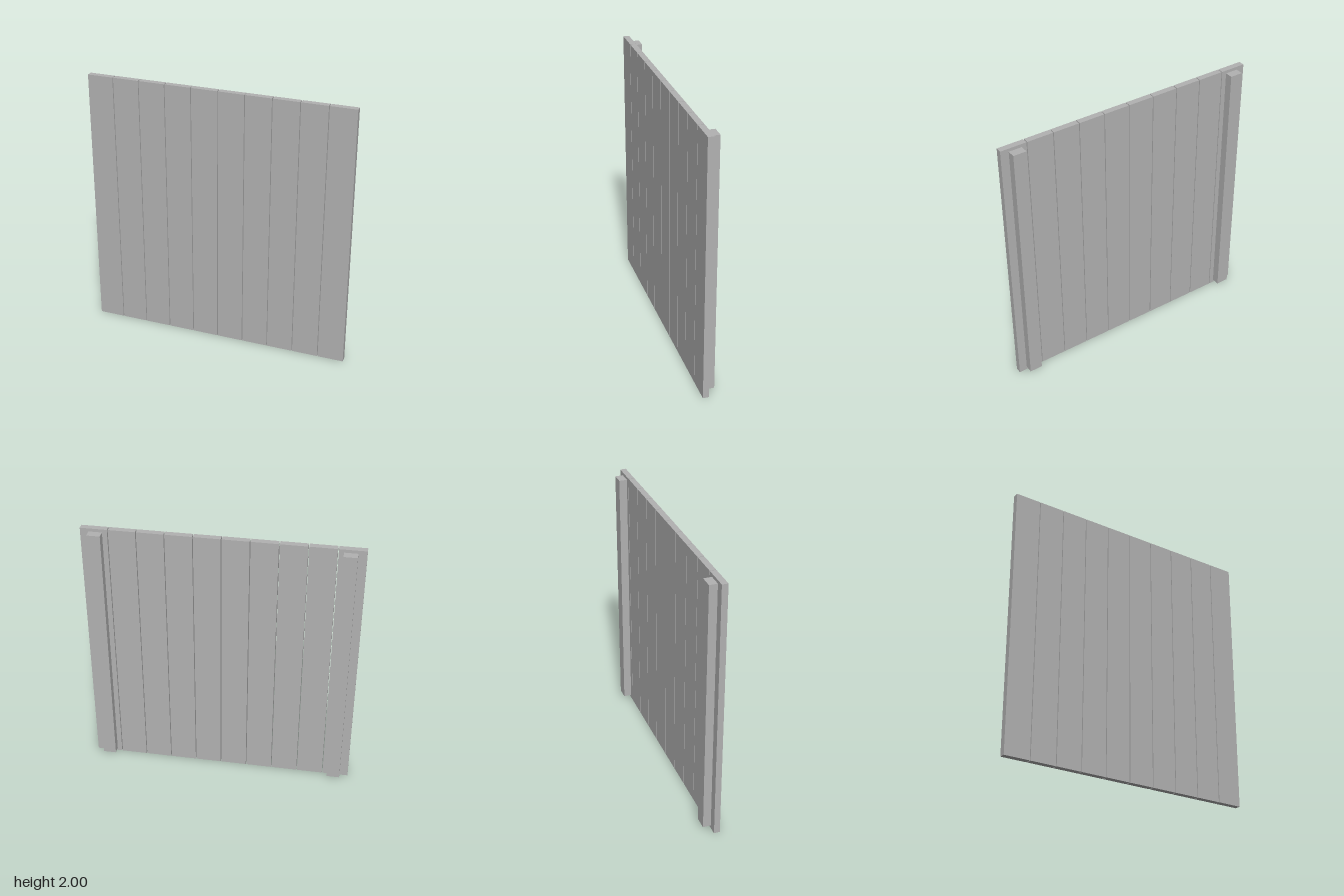
import * as THREE from 'three';

export function createModel() {
  const model = new THREE.Group();
  model.name = 'plankPanel';

  const greyWood = new THREE.MeshStandardMaterial({ color: 0xb2b2b2 });
  greyWood.name = 'greyWood';

  const addBoard = (name, width, height, depth, x, z) => {
    const board = new THREE.Mesh(new THREE.BoxGeometry(width, height, depth), greyWood);
    board.name = name;
    board.position.set(x, 1, z);
    model.add(board);
  };

  // Upright planks side by side with narrow gaps
  const count = 10, gap = 0.006;
  const width = (2 - gap * (count - 1)) / count;
  for (let i = 0; i < count; i++) {
    addBoard(`plank${i + 1}`, width, 2, 0.045, -1 + width / 2 + i * (width + gap), 0.03);
  }

  // Shorter battens on the back, one near each edge
  for (const side of [-1, 1]) {
    addBoard(side > 0 ? 'leftBatten' : 'rightBatten', 0.097, 1.953, 0.06, side * 0.89, -0.0225);
  }

  return model;
}
